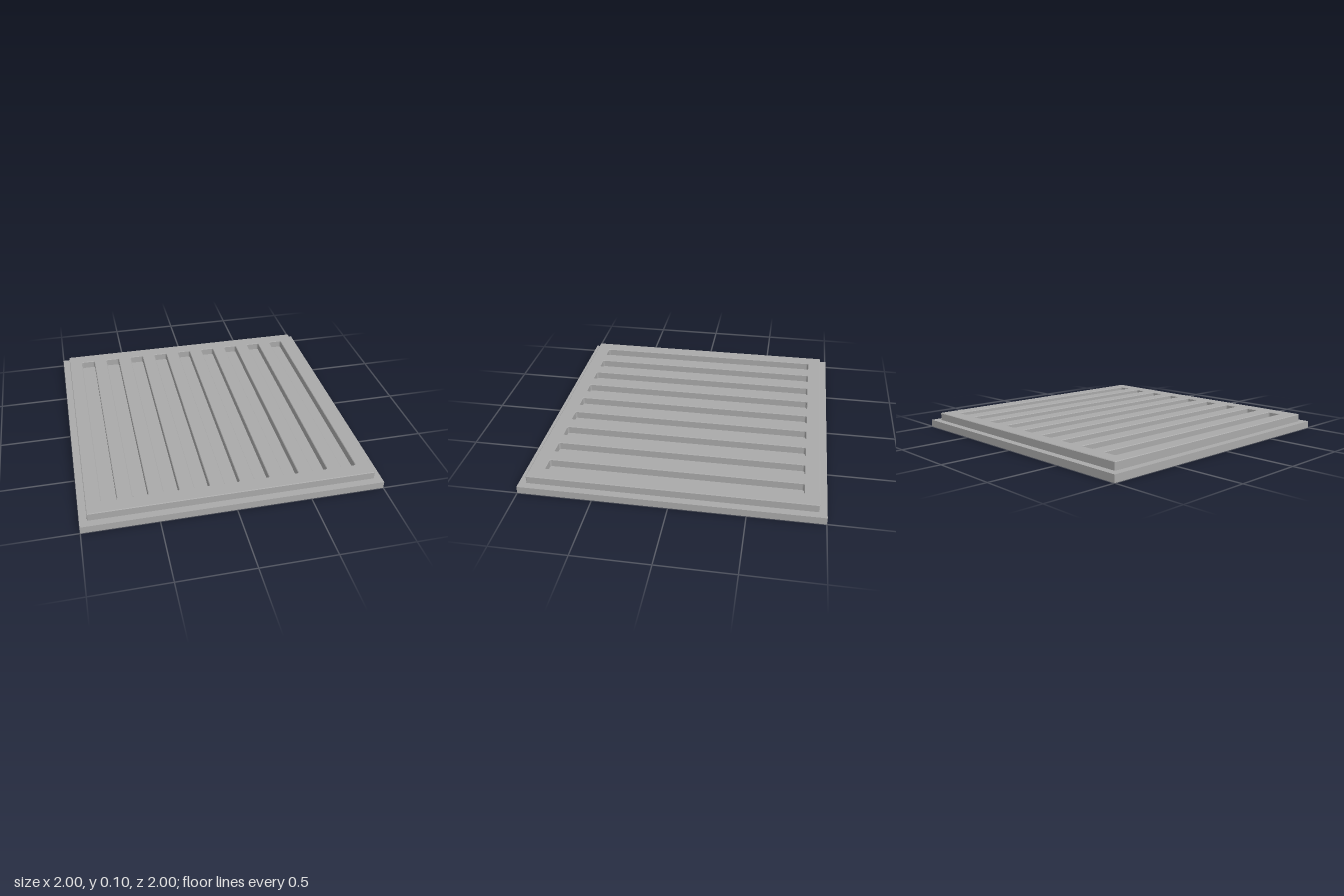
import * as THREE from 'three';

// Rectangle outline with slightly rounded corners
function roundedRect(path, cx, hw, hh, r) {
  const corners = [[1, -1, -0.5], [1, 1, 0], [-1, 1, 0.5], [-1, -1, 1]];
  for (const [sx, sy, a] of corners) {
    path.absarc(cx + sx * (hw - r), sy * (hh - r), r, a * Math.PI, (a + 0.5) * Math.PI, false);
  }
  path.closePath();
  return path;
}

export function createModel() {
  const group = new THREE.Group();
  const metal = new THREE.MeshStandardMaterial({ color: 0xaaaaaa });
  metal.name = 'grey metal';

  // Solid base slab
  const base = new THREE.Mesh(new THREE.BoxGeometry(2, 0.05, 2), metal);
  base.name = 'base';
  base.position.y = 0.025;
  group.add(base);

  // Raised plate with nine long slots and a fine softened edge
  const bevel = 0.004;
  const outline = roundedRect(new THREE.Shape(), 0, 0.95 - bevel, 0.95 - bevel, 0.003);
  for (let i = -4; i <= 4; i++) {
    outline.holes.push(roundedRect(new THREE.Path(), i * 0.2, 0.05 + bevel, 0.85 + bevel, 0.016));
  }
  const plateGeometry = new THREE.ExtrudeGeometry(outline, {
    depth: 0.05, bevelEnabled: true, bevelThickness: bevel, bevelSize: bevel,
    bevelSegments: 1, curveSegments: 4,
  });
  plateGeometry.rotateX(-Math.PI / 2);
  const plate = new THREE.Mesh(plateGeometry, metal);
  plate.name = 'slottedPlate';
  plate.position.y = 0.05;
  group.add(plate);

  return group;
}
